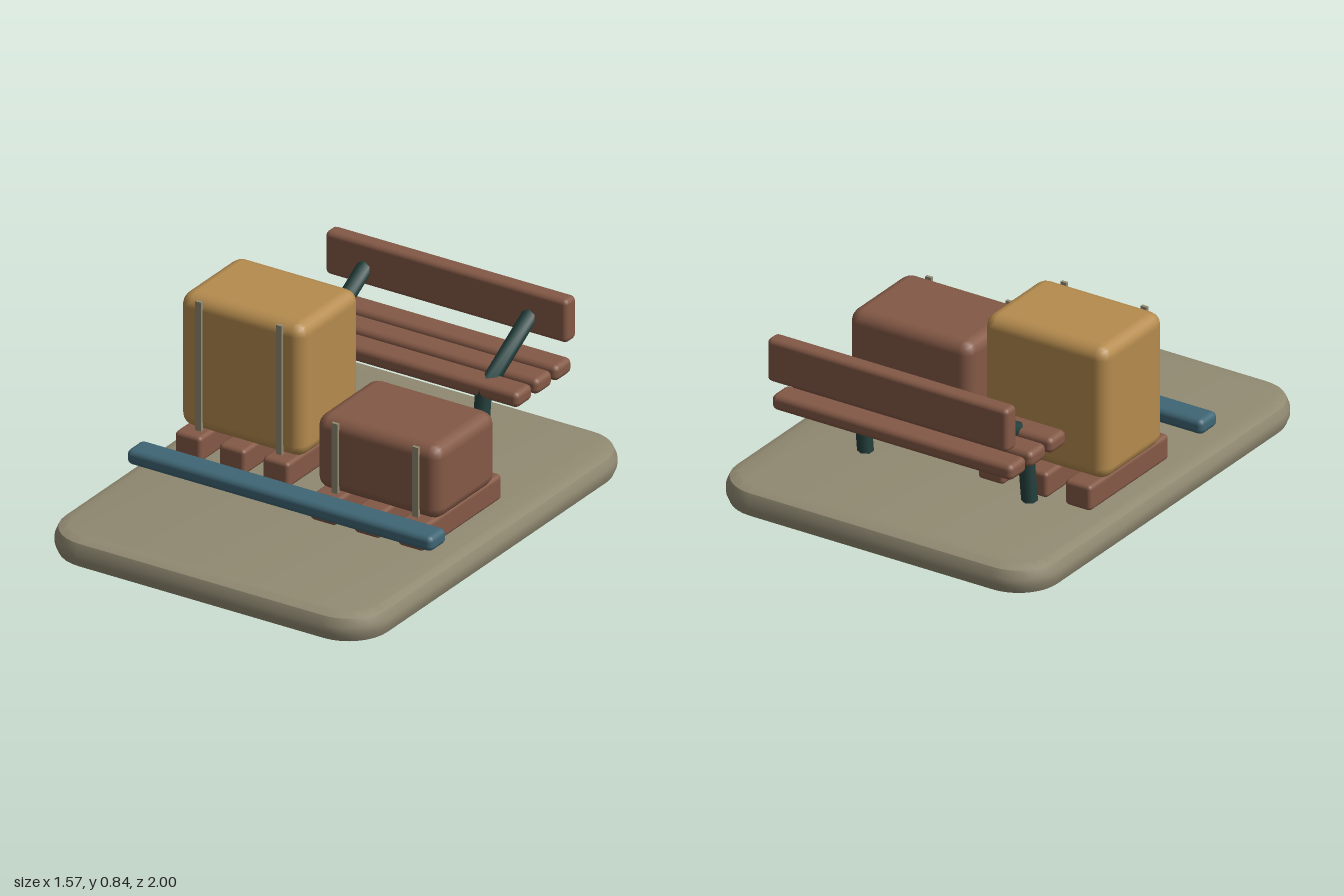
import * as THREE from 'three';
import { toCreasedNormals } from 'three/addons/utils/BufferGeometryUtils.js';
import { RoundedBoxGeometry } from 'three/addons/geometries/RoundedBoxGeometry.js';

function material(name, color) {
  const m = new THREE.MeshStandardMaterial({ color });
  m.name = name;
  return m;
}

export function createModel() {
  const stone = material('stone', 0x918a72);
  const ochre = material('ochre', 0xb58b4e);
  const wood = material('wood', 0x845946);
  const teal = material('teal', 0x3f6675);
  const darkIron = material('darkIron', 0x25423f);

  const model = new THREE.Group();
  model.name = 'benchWithCrates';

  function add(parent, name, geometry, mat, x = 0, y = 0, z = 0) {
    const mesh = new THREE.Mesh(geometry, mat);
    mesh.name = name;
    mesh.position.set(x, y, z);
    parent.add(mesh);
    return mesh;
  }

  function group(name) {
    const g = new THREE.Group();
    g.name = name;
    model.add(g);
    return g;
  }

  // Rounded block given by its limits on each axis
  function block(parent, name, mat, [x0, x1], [y0, y1], [z0, z1], radius) {
    const geometry = new RoundedBoxGeometry(x1 - x0, y1 - y0, z1 - z0, 2, radius);
    return add(parent, name, geometry, mat, (x0 + x1) / 2, (y0 + y1) / 2, (z0 + z1) / 2);
  }

  // Six-sided rod between two points in the plane x = const
  function rod(parent, name, x, [y0, z0], [y1, z1]) {
    const a = new THREE.Vector3(x, y0, z0);
    const b = new THREE.Vector3(x, y1, z1);
    const geometry = new THREE.CylinderGeometry(0.034, 0.034, a.distanceTo(b), 6);
    const mesh = add(parent, name, toCreasedNormals(geometry, 1.1), darkIron);
    mesh.position.copy(a).add(b).multiplyScalar(0.5);
    mesh.rotation.x = Math.atan2(z1 - z0, y1 - y0);
  }

  // Base slab with rounded corners and bevelled rim
  const w = 0.735, d = 0.95, r = 0.15, bevel = 0.05;
  const outline = new THREE.Shape();
  outline.absarc(w - r, d - r, r, 0, Math.PI / 2);
  outline.absarc(r - w, d - r, r, Math.PI / 2, Math.PI);
  outline.absarc(r - w, r - d, r, Math.PI, Math.PI * 1.5);
  outline.absarc(w - r, r - d, r, Math.PI * 1.5, Math.PI * 2);
  outline.closePath();
  const slab = new THREE.ExtrudeGeometry(outline, {
    depth: 0.03, bevelThickness: bevel, bevelSize: bevel, bevelSegments: 2, curveSegments: 4,
  });
  slab.rotateX(-Math.PI / 2);
  add(model, 'base', toCreasedNormals(slab, 0.65), stone, 0, bevel, 0);

  // Two crates on skids, each with a pair of front straps
  const crates = [
    { name: 'tallCrate', x: -0.397, mat: ochre, top: 0.84, z: [-0.34, 0.097], skid: [-0.41, 0.16] },
    { name: 'lowCrate', x: 0.367, mat: wood, top: 0.575, z: [-0.17, 0.267], skid: [-0.24, 0.34] },
  ];
  for (const c of crates) {
    const g = group(c.name);
    for (const offset of [-0.21, 0, 0.21]) {
      const x = c.x + offset;
      block(g, 'skid', wood, [x - 0.063, x + 0.063], [0.14, 0.253], c.skid, 0.018);
    }
    block(g, 'crateBody', c.mat, [c.x - 0.297, c.x + 0.297], [0.243, c.top], c.z, 0.055);
    for (const offset of [-0.193, 0.193]) {
      const height = c.top - 0.26;
      add(g, 'strap', new THREE.BoxGeometry(0.028, height, 0.014), stone,
        c.x + offset, 0.25 + height / 2, c.z[1] + 0.003);
    }
  }

  // Long rail in front
  block(model, 'frontRail', teal, [-0.732, 0.732], [0.195, 0.263], [0.302, 0.422], 0.025);

  // Bench: three seat slats, a backrest and two bent supports
  const bench = group('bench');
  for (const z of [-0.503, -0.648, -0.79]) {
    block(bench, 'seatSlat', wood, [-0.582, 0.578], [0.435, 0.505], [z - 0.059, z + 0.059], 0.025);
  }
  block(bench, 'backrest', wood, [-0.582, 0.578], [0.577, 0.77], [-0.88, -0.804], 0.022);
  for (const x of [-0.395, 0.395]) {
    rod(bench, 'leg', x, [0.125, -0.436], [0.47, -0.477]);
    rod(bench, 'backSupport', x, [0.46, -0.485], [0.665, -0.83]);
  }

  return model;
}
